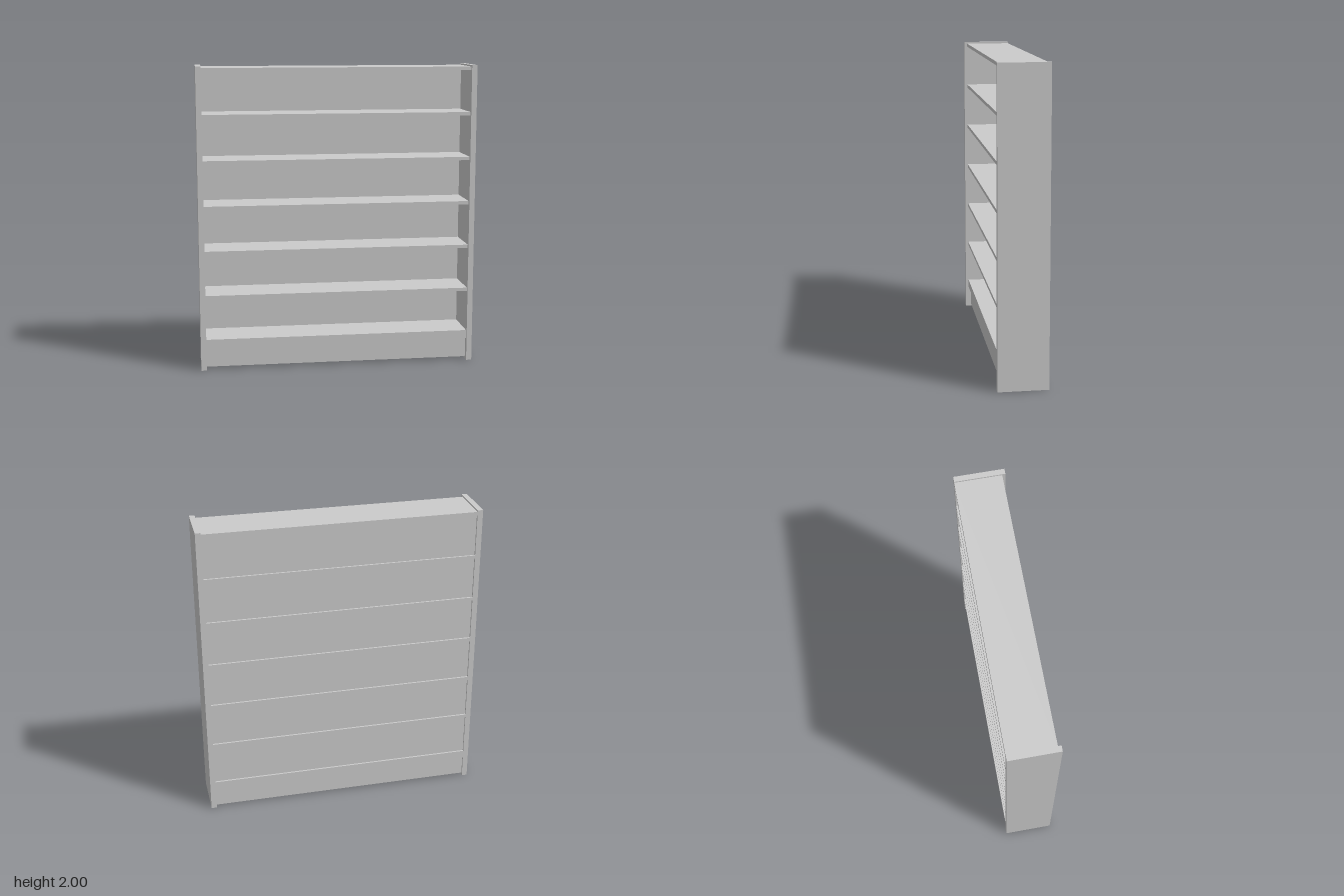
import * as THREE from 'three';

export function createModel() {
  const model = new THREE.Group();
  const material = new THREE.MeshStandardMaterial({ color: 0xcccccc });

  // Box given by its extents on each axis
  function board(name, [x0, x1], [y0, y1], [z0, z1]) {
    const mesh = new THREE.Mesh(new THREE.BoxGeometry(x1 - x0, y1 - y0, z1 - z0), material);
    mesh.position.set((x0 + x1) / 2, (y0 + y1) / 2, (z0 + z1) / 2);
    mesh.name = name;
    model.add(mesh);
  }

  const outer = 0.917, inner = 0.881;
  const width = [-inner, inner];
  const shelfDepth = [-0.16, 0.14];
  const backDepth = [-0.148, -0.138];

  // Side panels
  board('leftSide', [inner, outer], [0, 2], [-0.16, 0.16]);
  board('rightSide', [-outer, -inner], [0, 2], [-0.16, 0.16]);

  // Thick bottom shelf, evenly spaced shelves and top, with a back panel in each bay
  const bottomTop = 0.205, pitch = 0.2975, thickness = 0.022, bays = 6;
  board('bottomShelf', width, [0.15, bottomTop], shelfDepth);
  for (let i = 1; i <= bays; i++) {
    const top = bottomTop + i * pitch;
    board(i === bays ? 'topPanel' : `shelf${i}`, width, [top - thickness, top], shelfDepth);
    board(`backPanel${i}`, width, [top - pitch, top - thickness], backDepth);
  }

  // Plinth boards under the bottom shelf, raised just off the floor
  board('frontKickboard', width, [0.015, 0.15], [0.105, 0.122]);
  board('backKickboard', width, [0.015, 0.15], [-0.148, -0.131]);

  return model;
}
